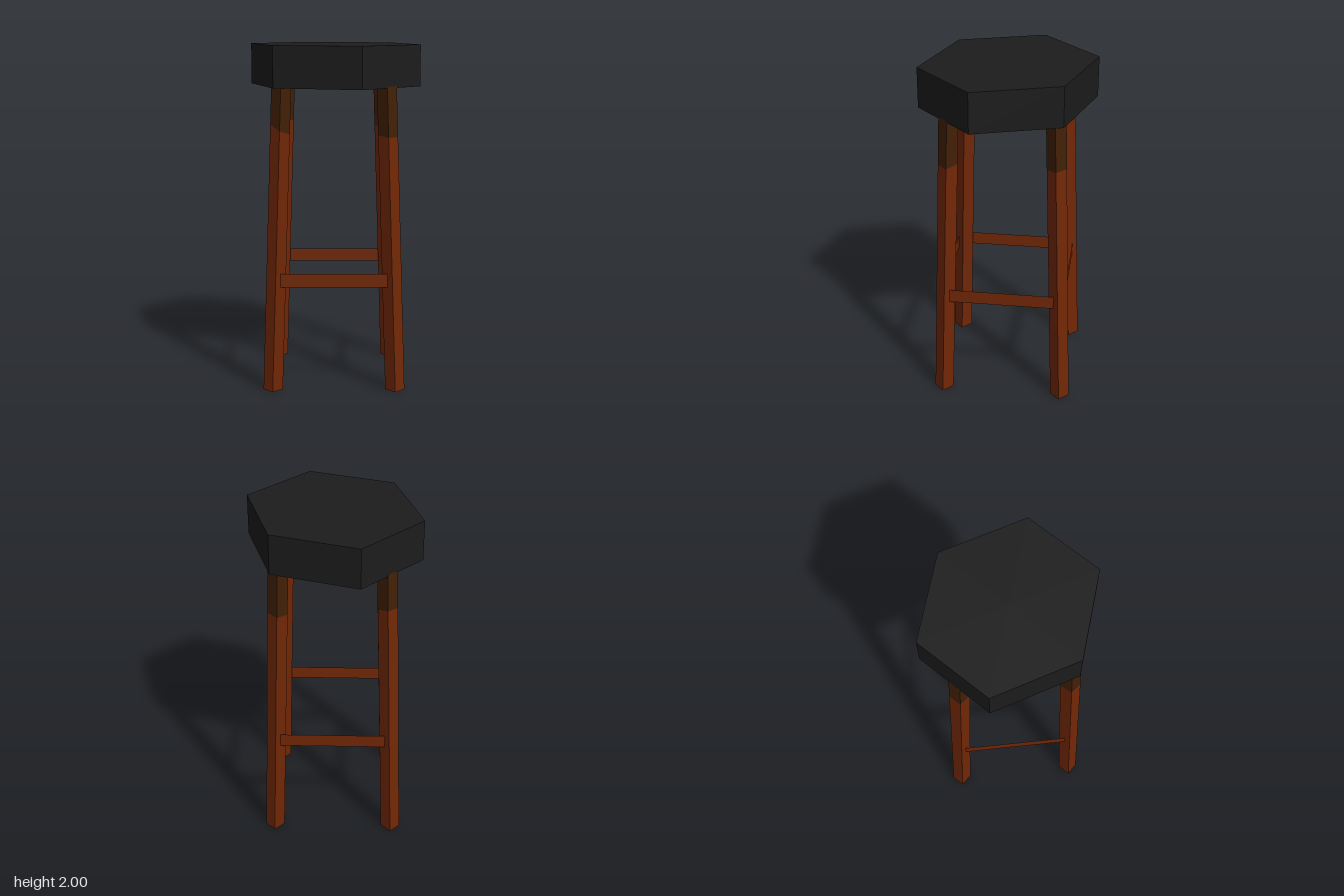
import * as THREE from 'three';

const SEAT_BOTTOM = 1.76;
const LEG = 0.08; // leg thickness

const material = (name, color, side = THREE.FrontSide) => {
  const m = new THREE.MeshStandardMaterial({ color, side, flatShading: true });
  m.name = name;
  return m;
};

// distance of a leg's centre line from the stool's axis at height y
const splay = (y) => 0.505 - 0.081 * (y / SEAT_BOTTOM);

// Square leg section leaning along +z; bottom and top are planes
// given as [height, slope across, slope outwards]
function legSection(bottom, top) {
  const g = new THREE.BoxGeometry(LEG, 1, LEG);
  const p = g.attributes.position;
  for (let i = 0; i < p.count; i++) {
    const x = p.getX(i);
    const z = p.getZ(i);
    const [height, across, outwards] = p.getY(i) > 0 ? top : bottom;
    const y = height + across * x + outwards * z;
    p.setXYZ(i, x, y, z + splay(y));
  }
  g.computeVertexNormals();
  return g;
}

export function createModel() {
  const stool = new THREE.Group();
  stool.name = 'barStool';

  const wood = material('redBrownWood', 0x712706, THREE.DoubleSide);
  const darkWood = material('darkWood', 0x412006);
  const black = material('blackSeat', 0x1c1c1c);
  const underside = material('seatUnderside', 0x7c4030);

  const add = (parent, name, geometry, mat) => {
    const mesh = new THREE.Mesh(geometry, mat);
    mesh.name = name;
    parent.add(mesh);
    return mesh;
  };

  // Hexagonal seat with corners at front and back, slightly widened
  const seatGeometry = new THREE.CylinderGeometry(0.487, 0.487, 0.24, 6);
  seatGeometry.scale(1.098, 1, 1);
  const seat = add(stool, 'seat', seatGeometry, [black, black, underside]);
  seat.position.y = SEAT_BOTTOM + 0.12;

  // Legs at front, left, back and right, with a dark band under the seat
  const legs = [
    ['frontLeg', [1.525, -0.45, 0.3]],
    ['leftLeg', [1.487, 0, -0.13]],
    ['backLeg', [1.492, 0, 0.13]],
    ['rightLeg', [1.532, -0.1, 0.26]],
  ];
  legs.forEach(([name, split], i) => {
    const leg = new THREE.Group();
    leg.name = name;
    leg.rotation.y = (i * Math.PI) / 2;
    add(leg, 'lowerLeg', legSection([0, 0, 0], split), wood);
    add(leg, 'upperLeg', legSection(split, [SEAT_BOTTOM + 0.01, 0, 0]), darkWood);
    stool.add(leg);
  });

  // Thin diagonal rungs fixed to the outer side faces of neighbouring legs
  const near = LEG / 2;
  const far = 0.477;
  const rungGeometry = new THREE.PlaneGeometry((far - near) * Math.SQRT2, 0.08);
  for (let i = 0; i < 4; i++) {
    const angle = Math.PI / 4 + (i * Math.PI) / 2;
    const r = (far + near) / Math.SQRT2;
    const rung = add(stool, `rung${i + 1}`, rungGeometry, wood);
    rung.position.set(Math.sin(angle) * r, 0.655, Math.cos(angle) * r);
    rung.rotation.y = angle;
  }

  return stool;
}
